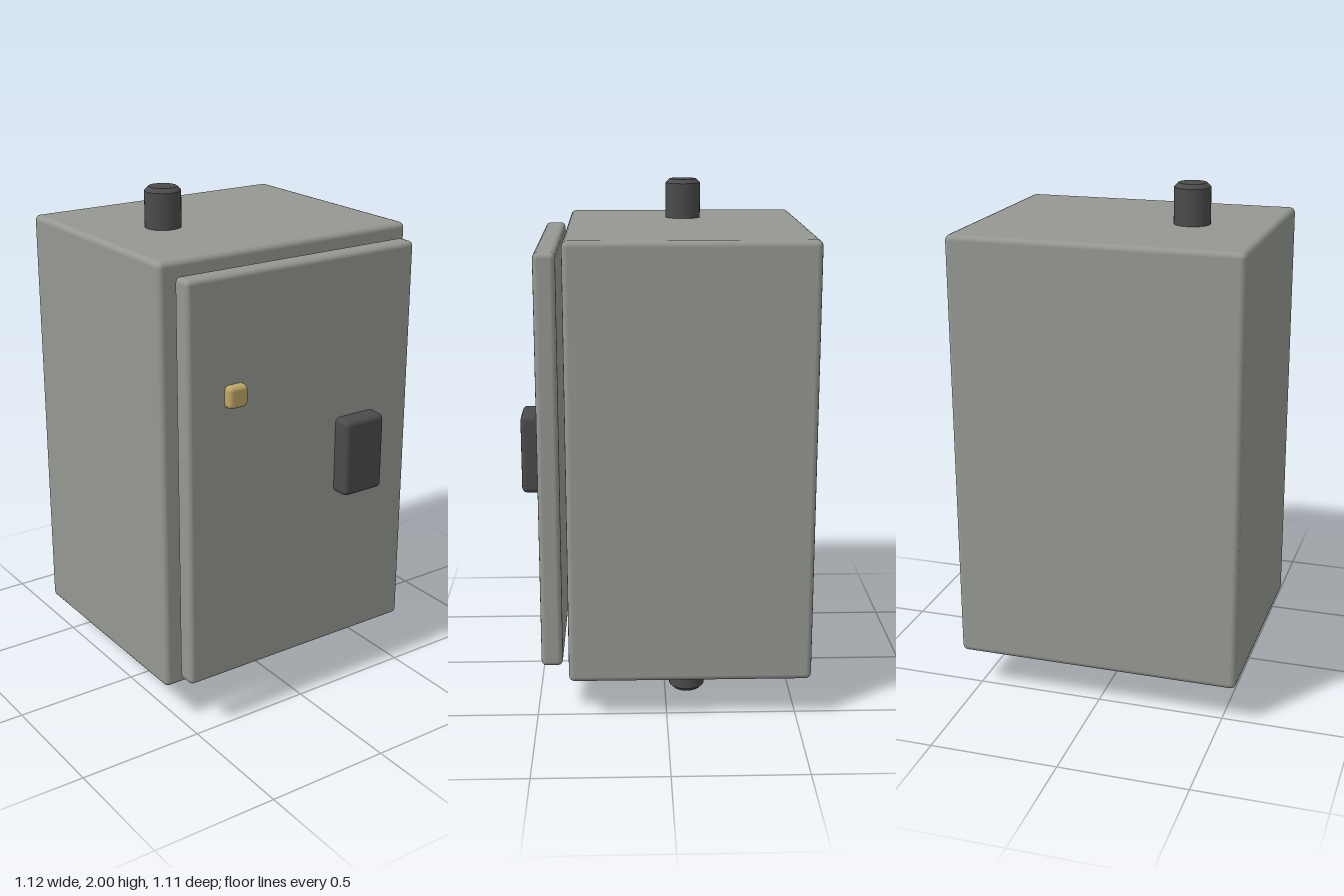
import * as THREE from 'three';
import { RoundedBoxGeometry } from 'three/addons/geometries/RoundedBoxGeometry.js';

const material = (name, color) => {
  const m = new THREE.MeshStandardMaterial({ color });
  m.name = name;
  return m;
};

export function createModel() {
  const group = new THREE.Group();
  const steel = material('grey steel', 0x959892);
  const dark = material('dark plastic', 0x4b4b4b);
  const brass = material('brass', 0xbea566);

  const add = (name, geometry, mat, x, y, z) => {
    const mesh = new THREE.Mesh(geometry, mat);
    mesh.name = name;
    mesh.position.set(x, y, z);
    group.add(mesh);
  };

  // Box with softened edges, given by its extents on each axis
  const addBox = (name, mat, [x0, x1], [y0, y1], [z0, z1], radius) =>
    add(name, new RoundedBoxGeometry(x1 - x0, y1 - y0, z1 - z0, 2, radius), mat,
      (x0 + x1) / 2, (y0 + y1) / 2, (z0 + z1) / 2);

  // Cabinet and the door floating just in front of it
  addBox('cabinet', steel, [-0.56, 0.56], [0.16, 1.845], [-0.555, 0.376], 0.022);
  addBox('door', steel, [-0.514, 0.514], [0.207, 1.798], [0.4, 0.482], 0.02);

  // Door fittings, sunk slightly into the door
  addBox('handle', dark, [0.155, 0.34], [0.85, 1.158], [0.45, 0.552], 0.02);
  addBox('lock', brass, [-0.357, -0.272], [1.304, 1.39], [0.45, 0.515], 0.018);

  // Conduit stubs with chamfered ends, one above and one below
  const r = 0.07, half = 0.14, c = 0.016;
  const profile = [[0, -half], [r - c, -half], [r - c, -half], [r, -half + c], [r, -half + c],
    [r, half - c], [r, half - c], [r - c, half], [r - c, half], [0, half]]
    .map(([x, y]) => new THREE.Vector2(x, y));
  // Drop the doubled points' zero-length bands by lathing each segment separately
  const addConduit = (name, x, y, z) => {
    const conduit = new THREE.Group();
    conduit.name = name;
    conduit.position.set(x, y, z);
    for (let i = 0; i < profile.length; i += 2) {
      const mesh = new THREE.Mesh(new THREE.LatheGeometry([profile[i], profile[i + 1]], 32), dark);
      mesh.name = name + 'Surface';
      conduit.add(mesh);
    }
    group.add(conduit);
  };
  addConduit('topConduit', -0.25, 2 - half, -0.088);
  addConduit('bottomConduit', 0.25, half, -0.088);

  return group;
}
